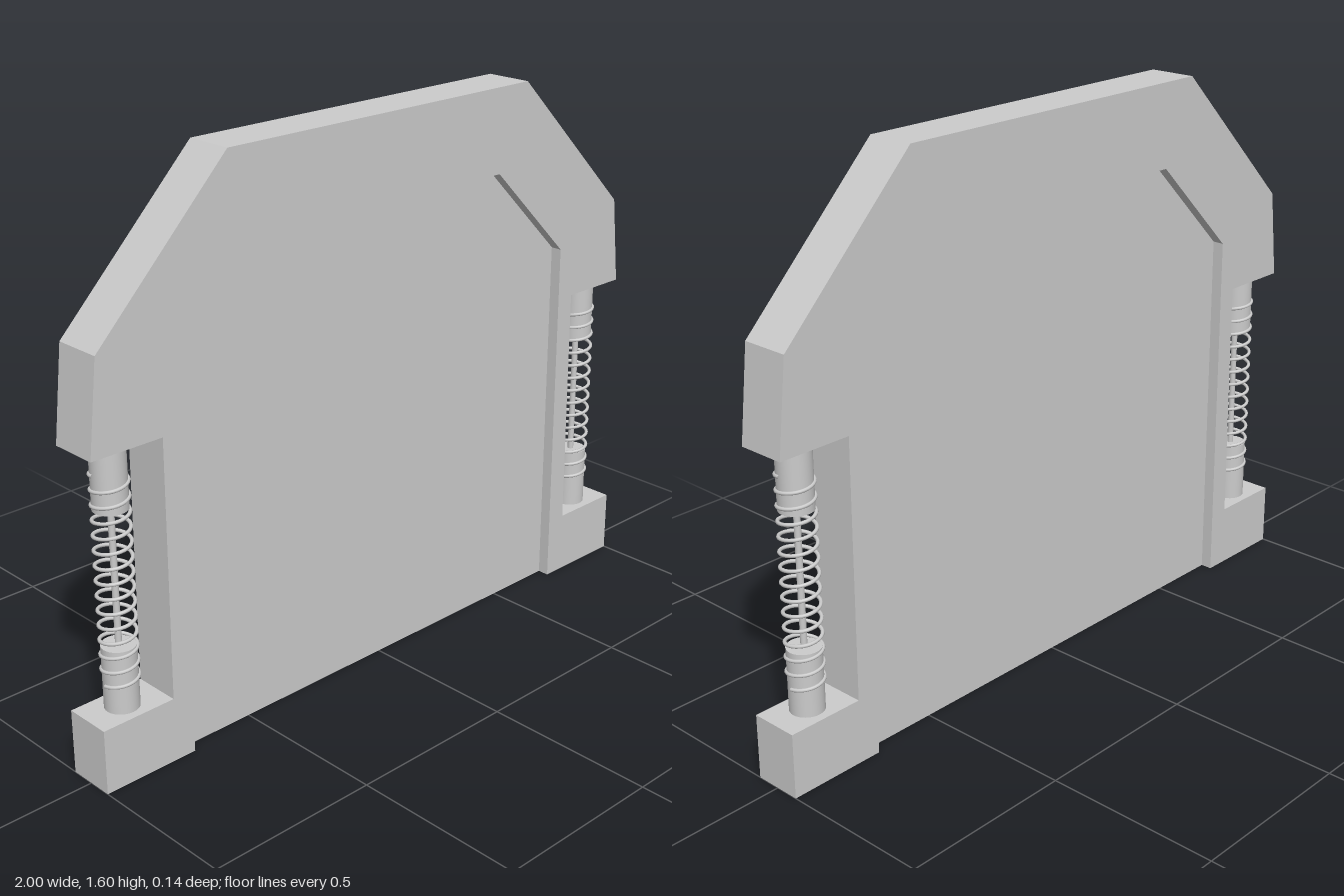
import * as THREE from 'three';

const material = new THREE.MeshStandardMaterial({ color: 0xcccccc });

function addMesh(parent, name, geometry, x = 0, y = 0) {
  const mesh = new THREE.Mesh(geometry, material);
  mesh.name = name;
  mesh.position.set(x, y, 0);
  parent.add(mesh);
  return mesh;
}

// Flat plate centred on z = 0, from the right half of a symmetric outline
function plate(half, depth) {
  const mirrored = half.map(([x, y]) => [-x, y]).reverse();
  const shape = new THREE.Shape([...half, ...mirrored].map(([x, y]) => new THREE.Vector2(x, y)));
  const geometry = new THREE.ExtrudeGeometry(shape, { depth, bevelEnabled: false });
  return geometry.translate(0, 0, -depth / 2);
}

// Rising coil around the y axis
class Coil extends THREE.Curve {
  constructor(radius, height, turns) {
    super();
    Object.assign(this, { radius, height, turns });
  }
  getPoint(t, target = new THREE.Vector3()) {
    const a = t * this.turns * Math.PI * 2;
    return target.set(this.radius * Math.cos(a), t * this.height, -this.radius * Math.sin(a));
  }
}

// Two sockets, a thin rod and a wound spring
function createSpringStrut() {
  const strut = new THREE.Group();
  const post = (name, radius, y0, y1) =>
    addMesh(strut, name, new THREE.CylinderGeometry(radius, radius, y1 - y0, 32), 0, (y0 + y1) / 2);
  post('lowerSocket', 0.047, 0.18, 0.365);
  post('upperSocket', 0.047, 0.745, 0.925);
  post('rod', 0.009, 0.36, 0.75);
  const coil = new Coil(0.048, 0.585, 14);
  addMesh(strut, 'spring', new THREE.TubeGeometry(coil, 14 * 28, 0.005, 8), 0, 0.26);
  return strut;
}

export function createModel() {
  const model = new THREE.Group();
  model.name = 'springGate';

  // Arched frame with feet and a notch on each side
  const inner = [[0.715, 0], [0.715, 1.075], [0.435, 1.355]];
  const frame = [
    [0.715, 0], [1, 0], [1, 0.185], [0.778, 0.185], [0.773, 0.92],
    [0.988, 0.92], [0.958, 1.18], [0.542, 1.6],
  ];
  const mirror = (points) => points.map(([x, y]) => [-x, y]).reverse();
  const outline = [...frame, ...mirror(frame), ...mirror(inner).reverse().slice(1), ...[...inner].reverse().slice(0, 2)];
  const shape = new THREE.Shape(outline.map(([x, y]) => new THREE.Vector2(x, y)));
  const frameGeometry = new THREE.ExtrudeGeometry(shape, { depth: 0.14, bevelEnabled: false });
  addMesh(model, 'frame', frameGeometry.translate(0, 0, -0.07));

  // Panel recessed on both faces
  addMesh(model, 'panel', plate(inner, 0.072));

  // Spring struts in the side notches, one turned half way round
  for (const side of [1, -1]) {
    const strut = createSpringStrut();
    strut.name = side > 0 ? 'leftStrut' : 'rightStrut';
    strut.position.x = side * 0.89;
    strut.rotation.y = side > 0 ? 0 : Math.PI;
    model.add(strut);
  }
  return model;
}
